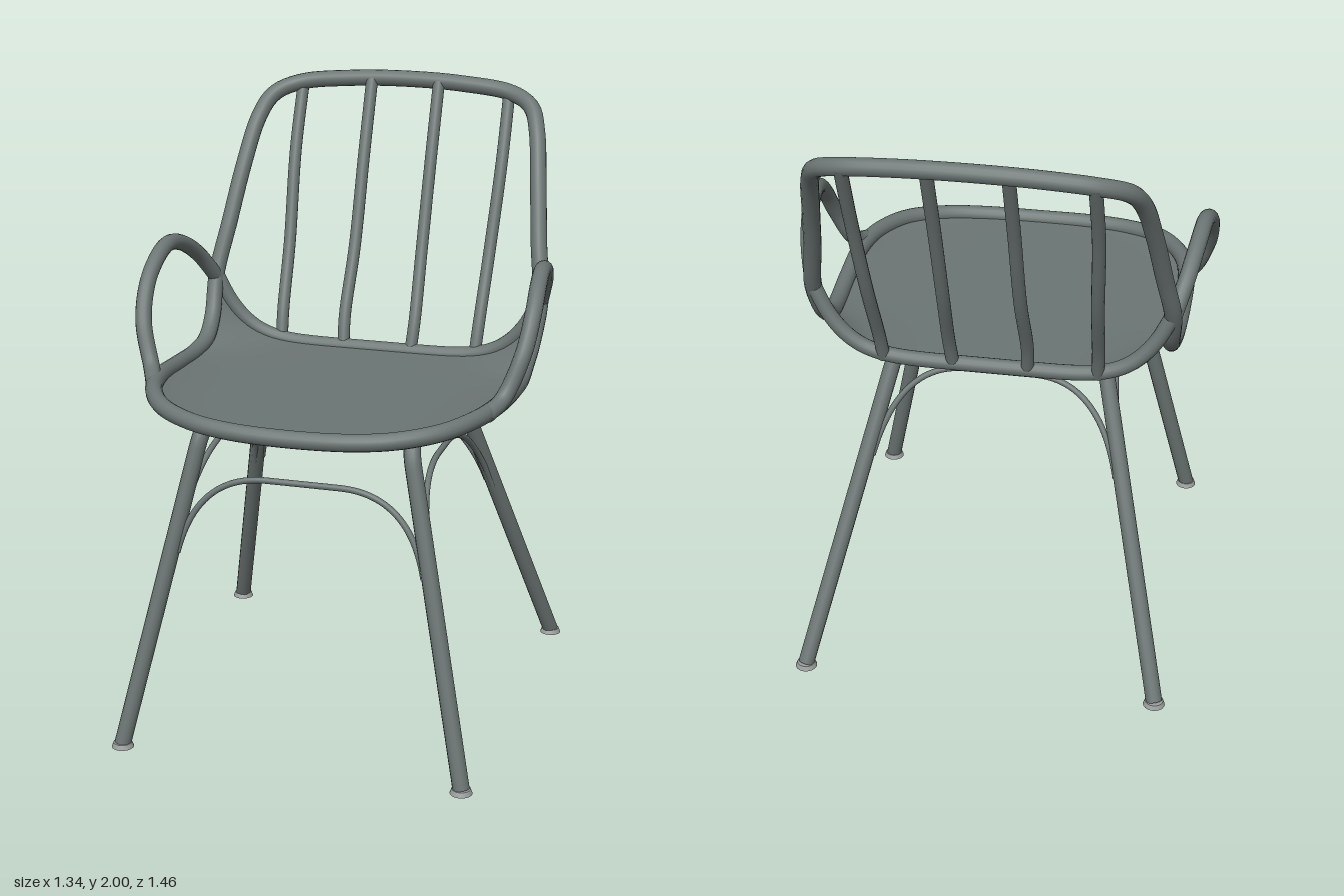
import * as THREE from 'three';

const V = (x, y, z) => new THREE.Vector3(x, y, z);
const finish = new THREE.MeshStandardMaterial({ color: 0x6b7573, side: THREE.DoubleSide });
finish.name = 'grey green finish';
const glide = new THREE.MeshStandardMaterial({ color: 0x9a9f9d });
glide.name = 'light grey glide';

const mirror = (p) => V(-p.x, p.y, p.z);

function add(group, name, geometry, material = finish) {
  const mesh = new THREE.Mesh(geometry, material);
  mesh.name = name;
  group.add(mesh);
  return mesh;
}

const tube = (curve, radius, segments = 60, closed = false) =>
  new THREE.TubeGeometry(curve, segments, radius, 14, closed);
const spline = (pts) => new THREE.CatmullRomCurve3(pts);

// A path of straight runs with rounded corners
function roundedPath(pts, r) {
  const path = new THREE.CurvePath();
  let from = pts[0];
  for (let i = 1; i < pts.length - 1; i++) {
    const toward = (p) => pts[i].clone().add(p.clone().sub(pts[i]).setLength(r));
    const a = toward(pts[i - 1]), b = toward(pts[i + 1]);
    path.add(new THREE.LineCurve3(from, a));
    path.add(new THREE.QuadraticBezierCurve3(a, pts[i], b));
    from = b;
  }
  path.add(new THREE.LineCurve3(from, pts[pts.length - 1]));
  return path;
}

// Half of the continuous rim: front of the seat, side, sweep up, top of the back
const halfRim = [
  [0, 1.103, 0.668], [0.2, 1.107, 0.658], [0.33, 1.115, 0.625], [0.45, 1.128, 0.55],
  [0.53, 1.138, 0.42], [0.562, 1.138, 0.28], [0.568, 1.125, 0.1], [0.565, 1.12, -0.06],
  [0.56, 1.14, -0.16], [0.565, 1.2, -0.24], [0.573, 1.33, -0.312],
  [0.548, 1.5, -0.385], [0.522, 1.69, -0.475], [0.495, 1.84, -0.565], [0.46, 1.91, -0.63],
  [0.38, 1.946, -0.678], [0.2, 1.966, -0.698], [0, 1.972, -0.704],
].map((p) => V(...p));
const JOINT = 10;
const rim = new THREE.CatmullRomCurve3(
  [...halfRim, ...halfRim.slice(1, -1).reverse().map(mirror)], true);
const rimPoint = (k) => rim.getPoint(k / (2 * halfRim.length - 2));

// Seat surface: flat in the middle, curling up to meet the rim
function seatPoint(k, s) {
  const p = rimPoint(k);
  const curl = Math.pow(Math.abs(s), 6);
  const back = Math.max(0, k - JOINT + 2) / 2;
  return V(p.x * s, 1.1 + (p.y - 1.1) * curl, p.z - 0.022 * back * (1 - curl));
}

function seatGeometry() {
  const rows = 60, cols = 40, pos = [], index = [];
  for (let i = 0; i <= rows; i++) {
    for (let j = 0; j <= cols; j++) {
      pos.push(...seatPoint((i / rows) * JOINT, (2 * j) / cols - 1).toArray());
      if (i === rows || j === cols) continue;
      const a = i * (cols + 1) + j, c = a + cols + 1;
      index.push(a, a + 1, c, a + 1, c + 1, c);
    }
  }
  const g = new THREE.BufferGeometry();
  g.setAttribute('position', new THREE.Float32BufferAttribute(pos, 3));
  g.setIndex(index);
  g.computeVertexNormals();
  return g;
}

// Leg centre lines
const frontFoot = V(0.565, 0.012, 0.695), frontKnee = V(0.335, 1.075, 0.49);
const backFoot = V(0.59, 0.012, -0.585), backKnee = V(0.335, 1.06, -0.12);
function legPoint(front, side, y) {
  const a = front ? frontFoot : backFoot, b = front ? frontKnee : backKnee;
  const p = a.clone().lerp(b, (y - a.y) / (b.y - a.y));
  p.x *= side;
  return p;
}

// Thin arched brace between two legs
function braceGeometry(legA, legB, low, high, flat) {
  const a0 = legPoint(...legA, low), b0 = legPoint(...legB, low);
  const a = a0.clone().lerp(b0, 0.025), b = b0.clone().lerp(a0, 0.025);
  const ca = legPoint(...legA, high), cb = legPoint(...legB, high);
  const ta = ca.clone().lerp(cb, flat), tb = cb.clone().lerp(ca, flat);
  const path = new THREE.CurvePath();
  path.add(new THREE.QuadraticBezierCurve3(a, ca.clone().lerp(cb, 0.03), ta));
  path.add(new THREE.LineCurve3(ta, tb));
  path.add(new THREE.QuadraticBezierCurve3(tb, cb.clone().lerp(ca, 0.03), b));
  return tube(path, 0.01, 60);
}

export function createModel() {
  const chair = new THREE.Group();
  chair.name = 'chair';

  // Seat, rim and rear bar
  add(chair, 'seatShell', seatGeometry());
  add(chair, 'rim', tube(rim, 0.028, 220, true));
  const rear = [];
  for (let j = 0; j <= 24; j++) rear.push(seatPoint(JOINT, j / 12 - 1));
  add(chair, 'rearBar', tube(spline(rear), 0.025, 80));

  // Back spindles
  for (const [low, high, top] of [[0.345, 0.37, 1.95], [0.12, 0.12, 1.968]]) {
    for (const side of [-1, 1]) {
      add(chair, 'spindle', tube(spline([
        V(side * low, 1.1, -0.335), V(side * (low + 0.005), 1.2, -0.37),
        V(side * (low + high) / 2, 1.42, -0.475), V(side * high, 1.72, -0.59),
        V(side * high, top, -0.692),
      ]), 0.021, 30));
    }
  }

  // Looped arms
  const armPts = [
    [0.548, 1.135, 0.37], [0.585, 1.17, 0.295], [0.632, 1.3, 0.235], [0.645, 1.41, 0.16],
    [0.641, 1.48, 0.07], [0.635, 1.505, -0.01], [0.625, 1.485, -0.11],
    [0.605, 1.42, -0.22], [0.573, 1.32, -0.31],
  ].map((p) => V(...p));
  add(chair, 'leftArm', tube(spline(armPts), 0.027, 60));
  add(chair, 'rightArm', tube(spline(armPts.map(mirror)), 0.027, 60));

  // Bent leg frames and foot glides
  const framePts = [frontFoot, frontKnee, backKnee, backFoot];
  add(chair, 'leftLegFrame', tube(roundedPath(framePts, 0.09), 0.027, 160));
  add(chair, 'rightLegFrame', tube(roundedPath(framePts.map(mirror), 0.09), 0.027, 160));
  for (const side of [-1, 1]) {
    for (const foot of [frontFoot, backFoot]) {
      add(chair, 'footGlide', new THREE.CylinderGeometry(0.03, 0.036, 0.016, 24), glide)
        .position.set(foot.x * side, 0.008, foot.z);
    }
  }

  // Arched braces
  add(chair, 'frontBrace', braceGeometry([true, 1], [true, -1], 0.65, 0.905, 0.34));
  add(chair, 'backBrace', braceGeometry([false, 1], [false, -1], 0.68, 0.97, 0.34));
  for (const side of [-1, 1]) {
    add(chair, 'sideBrace', braceGeometry([true, side], [false, side], 0.66, 0.945, 0.42));
  }

  // Mounting bars and screws under the seat
  for (const z of [0.34, -0.02]) {
    add(chair, 'mountingBar', new THREE.BoxGeometry(0.66, 0.014, 0.045)).position.set(0, 1.068, z);
    for (const x of [-0.19, 0.19]) {
      add(chair, 'screw', new THREE.CylinderGeometry(0.018, 0.014, 0.045, 16)).position.set(x, 1.07, z);
    }
  }
  return chair;
}
